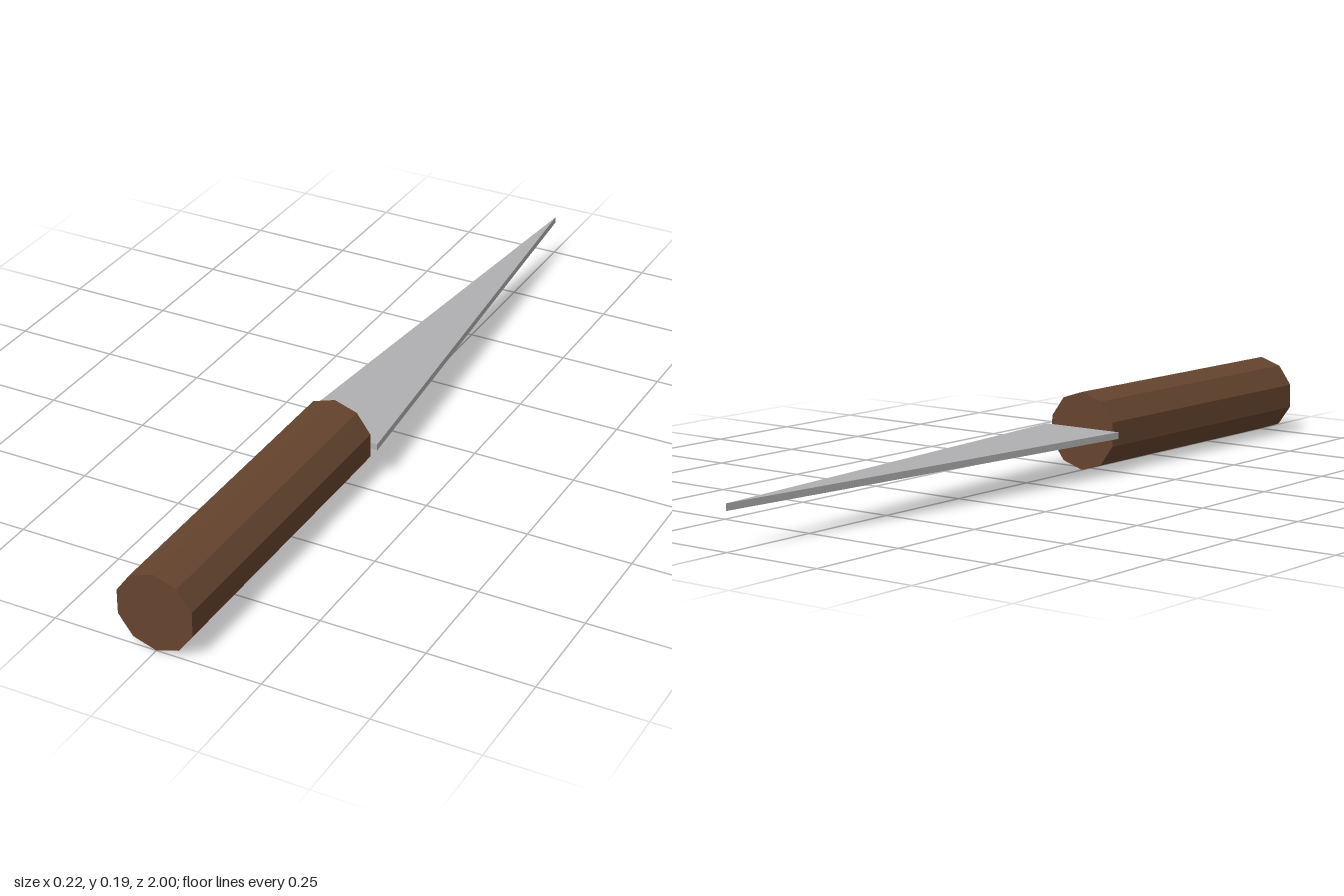
import * as THREE from 'three';

export function createModel() {
  const group = new THREE.Group();
  const wood = new THREE.MeshStandardMaterial({ name: 'brown wood', color: 0x65442e, flatShading: true });
  const steel = new THREE.MeshStandardMaterial({ name: 'grey steel', color: 0xb0b0b2, flatShading: true });

  const radius = 0.095; // handle radius, also the height of the centre line
  const joint = 0.217; // z where the blade meets the handle

  // Ten-sided handle lying along z
  const handleLength = 1 - joint;
  const handleGeometry = new THREE.CylinderGeometry(radius, radius, handleLength, 10);
  handleGeometry.rotateX(Math.PI / 2);
  const handle = new THREE.Mesh(handleGeometry, wood);
  handle.name = 'handle';
  handle.position.set(0, radius, joint + handleLength / 2);
  group.add(handle);

  // Flat triangular blade tapering to a point at the back
  const thickness = 0.016;
  const outline = new THREE.Shape([
    new THREE.Vector2(-0.108, -joint),
    new THREE.Vector2(0.108, -joint),
    new THREE.Vector2(0, 1),
  ]);
  const bladeGeometry = new THREE.ExtrudeGeometry(outline, { depth: thickness, bevelEnabled: false });
  bladeGeometry.rotateX(-Math.PI / 2);
  const blade = new THREE.Mesh(bladeGeometry, steel);
  blade.name = 'blade';
  blade.position.y = radius - thickness / 2;
  group.add(blade);

  return group;
}
